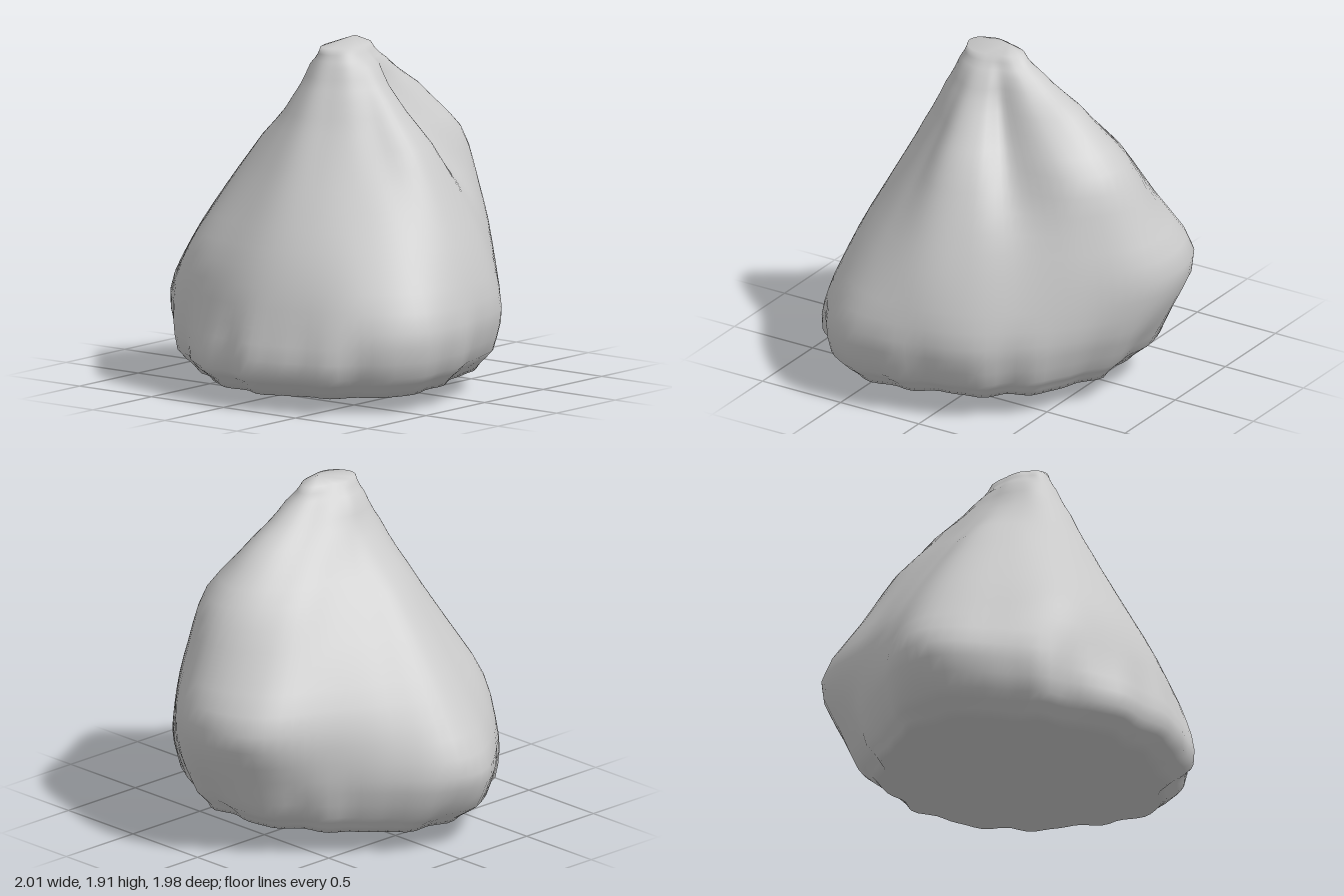
import * as THREE from 'three';

// Heights of the cross-sections, and their radii every 22.5 degrees from +x towards +z
const HEIGHTS = [0.08, 0.2, 0.45, 0.75, 1.05, 1.35, 1.6, 1.77, 1.87];
const RADII = [
  [.70, .80, .77, .72, .72, .73, .74, .78, .84, .80, .76, .78, .76, .74, .72, .70],
  [.83, .93, .91, .89, .87, .87, .86, .92, 1.0, .89, .84, .90, .87, .82, .80, .81],
  [.89, .97, .92, .84, .83, .83, .88, .97, 1.1, .95, .90, 1.0, 1.0, .90, .85, .87],
  [.82, .82, .77, .73, .73, .75, .82, .86, .95, .88, .90, 1.1, 1.08, .90, .80, .80],
  [.68, .62, .57, .56, .58, .59, .63, .67, .74, .70, .74, .90, .97, .83, .68, .67],
  [.51, .42, .39, .39, .42, .42, .43, .46, .50, .48, .53, .69, .83, .72, .46, .50],
  [.32, .28, .27, .27, .29, .28, .27, .26, .26, .28, .33, .42, .57, .45, .27, .30],
  [.20, .19, .19, .19, .20, .19, .18, .17, .17, .17, .19, .23, .31, .27, .20, .20],
  [.11, .12, .13, .14, .15, .14, .11, .10, .09, .09, .10, .14, .20, .17, .13, .11],
];
const COLUMNS = 96;
const STEPS = 3; // rings per section
const CX = 0.1, CZ = 0.1;

// Catmull-Rom value between b and c
function spline(a, b, c, d, t) {
  return b + 0.5 * t * (c - a + t * (2 * a - 5 * b + 4 * c - d + t * (3 * (b - c) + d - a)));
}

// Radius on one section at a fractional direction, wrapping round
function around(row, u) {
  const i = Math.floor(u), at = (k) => row[(i + k + 16) % 16];
  return spline(at(-1), at(0), at(1), at(2), u - i);
}

function bodyGeometry() {
  const positions = [0.04, 0, 0.13]; // lowest point
  const index = [];
  const last = HEIGHTS.length - 1;
  const rings = last * STEPS + 1;
  const clampRow = (k) => Math.min(last, Math.max(0, k));

  for (let r = 0; r < rings; r++) {
    const s = Math.min(last - 1, Math.floor(r / STEPS));
    const t = r / STEPS - s;
    const y = THREE.MathUtils.lerp(HEIGHTS[s], HEIGHTS[s + 1], t);
    for (let j = 0; j < COLUMNS; j++) {
      const u = (j / COLUMNS) * 16;
      const a = (j / COLUMNS) * Math.PI * 2;
      const [p, q, v, w] = [-1, 0, 1, 2].map((k) => around(RADII[clampRow(s + k)], u));
      // Gathered folds fade out above the rim
      const fade = Math.max(0, 1 - y / 0.55);
      const fold = 0.02 * fade * (Math.sin(13 * a + 1) + 0.6 * Math.sin(21 * a));
      const radius = spline(p, q, v, w, t) + fold;
      // The rim lifts slightly towards the back
      const lift = fade * (0.02 - 0.04 * Math.sin(a));
      positions.push(CX + radius * Math.cos(a), y + lift, CZ + radius * Math.sin(a));
    }
  }
  const top = positions.length / 3;
  positions.push(0.1, 1.91, 0.0); // peak

  const id = (r, j) => 1 + r * COLUMNS + (j % COLUMNS);
  for (let j = 0; j < COLUMNS; j++) {
    index.push(0, id(0, j), id(0, j + 1));
    for (let r = 0; r < rings - 1; r++) {
      index.push(id(r, j), id(r + 1, j), id(r, j + 1));
      index.push(id(r, j + 1), id(r + 1, j), id(r + 1, j + 1));
    }
    index.push(id(rings - 1, j), top, id(rings - 1, j + 1));
  }
  const geometry = new THREE.BufferGeometry();
  geometry.setAttribute('position', new THREE.Float32BufferAttribute(positions, 3));
  geometry.setIndex(index);
  geometry.computeVertexNormals();
  return geometry;
}

export function createModel() {
  const group = new THREE.Group();
  group.name = 'boulder';
  const body = new THREE.Mesh(bodyGeometry(), new THREE.MeshStandardMaterial({ color: 0xcccccc }));
  body.name = 'boulderBody';
  group.add(body);
  return group;
}
